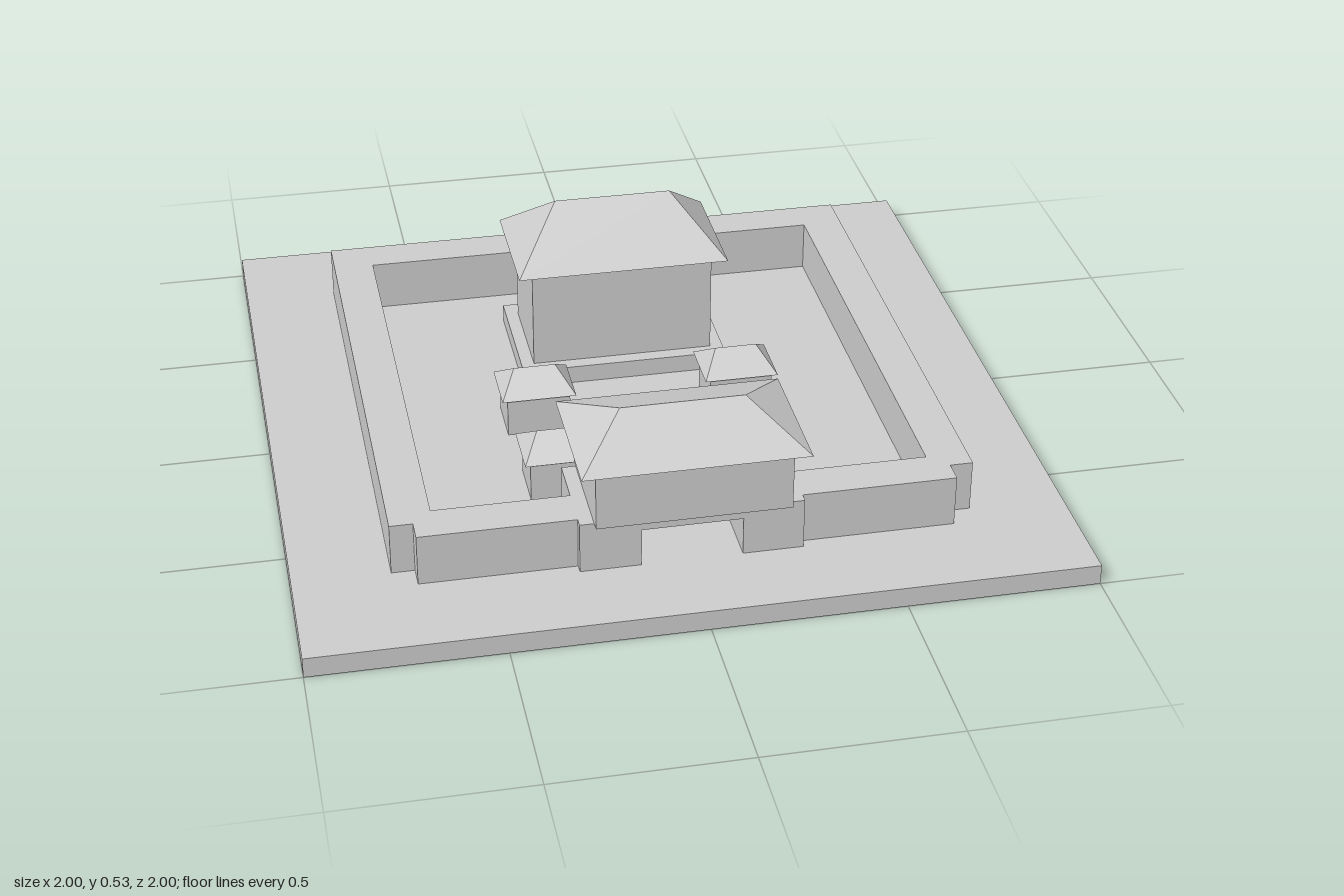
import * as THREE from 'three';

const stone = new THREE.MeshStandardMaterial({ color: 0xcccccc });
stone.name = 'light grey';

function add(parent, name, geometry, x = 0, y = 0, z = 0) {
  const mesh = new THREE.Mesh(geometry, stone);
  mesh.name = name;
  mesh.position.set(x, y, z);
  parent.add(mesh);
  return mesh;
}

// Box standing on height y
function block(parent, name, w, h, d, x, y, z) {
  return add(parent, name, new THREE.BoxGeometry(w, h, d), x, y + h / 2, z);
}

// Hipped roof: half width w, half depth d, half ridge length r, height h
function hipRoof(w, d, r, h) {
  const geometry = new THREE.BufferGeometry();
  geometry.setAttribute('position', new THREE.Float32BufferAttribute([
    -w, 0, -d, w, 0, -d, w, 0, d, -w, 0, d, -r, h, 0, r, h, 0,
  ], 3));
  geometry.setIndex([
    3, 2, 5, 3, 5, 4, // front
    1, 0, 4, 1, 4, 5, // back
    2, 1, 5, 0, 3, 4, // ends
    0, 1, 2, 0, 2, 3, // underside
  ]);
  const flat = geometry.toNonIndexed();
  flat.computeVertexNormals();
  return flat;
}

function polygon(points) {
  return new THREE.Shape(points.map(([x, y]) => new THREE.Vector2(x, y)));
}

const FLOOR = 0.055;
const WALL_TOP = 0.195;

export function createModel() {
  const model = new THREE.Group();
  model.name = 'walledCompound';

  block(model, 'groundSlab', 2, FLOOR, 2, 0, 0, 0);

  // Enclosing wall with notched front corners and a gap for the gate
  const half = [[0.285, -0.75], [0.69, -0.75], [0.69, -0.69], [0.75, -0.69], [0.75, 0.75]];
  const inner = [[0.64, 0.64], [0.64, -0.64], [0.285, -0.64]];
  const mirror = (pts) => pts.map(([x, y]) => [-x, y]).reverse();
  const wall = new THREE.ExtrudeGeometry(
    polygon([...half, ...mirror(half), ...mirror(inner), ...inner]),
    { depth: WALL_TOP - FLOOR, bevelEnabled: false },
  );
  wall.rotateX(-Math.PI / 2);
  add(model, 'enclosingWall', wall, 0, FLOOR, 0);

  // Gatehouse: base with passage, upper room, roof
  const gate = new THREE.Group();
  gate.name = 'gatehouse';
  model.add(gate);
  const base = new THREE.ExtrudeGeometry(polygon([
    [-0.287, 0.055], [-0.13, 0.055], [-0.13, 0.16], [0.13, 0.16],
    [0.13, 0.055], [0.287, 0.055], [0.287, 0.195], [-0.287, 0.195],
  ]), { depth: 0.265, bevelEnabled: false });
  add(gate, 'gateBase', base, 0, 0, 0.51);
  block(gate, 'gateRoom', 0.5, 0.155, 0.31, 0, WALL_TOP, 0.645);
  add(gate, 'gateRoof', hipRoof(0.29, 0.187, 0.16, 0.08), 0, 0.36, 0.642);

  // Main hall on its podium
  const hall = new THREE.Group();
  hall.name = 'mainHall';
  model.add(hall);
  block(hall, 'hallPodium', 0.57, 0.05, 0.375, 0, FLOOR, -0.306);
  block(hall, 'hallBody', 0.5, 0.275, 0.285, 0, 0.105, -0.3);
  add(hall, 'hallRoof', hipRoof(0.29, 0.178, 0.16, 0.14), 0, 0.39, -0.303);

  // Small courtyard houses
  for (const [x, z] of [[-0.28, 0.045], [0.275, 0.045], [-0.27, 0.365]]) {
    const house = new THREE.Group();
    house.name = 'courtyardHouse';
    house.position.set(x, 0, z);
    model.add(house);
    block(house, 'houseBody', 0.17, 0.107, 0.14, 0, FLOOR, 0);
    add(house, 'houseRoof', hipRoof(0.1, 0.082, 0.056, 0.055), 0, 0.165, 0);
  }

  return model;
}
